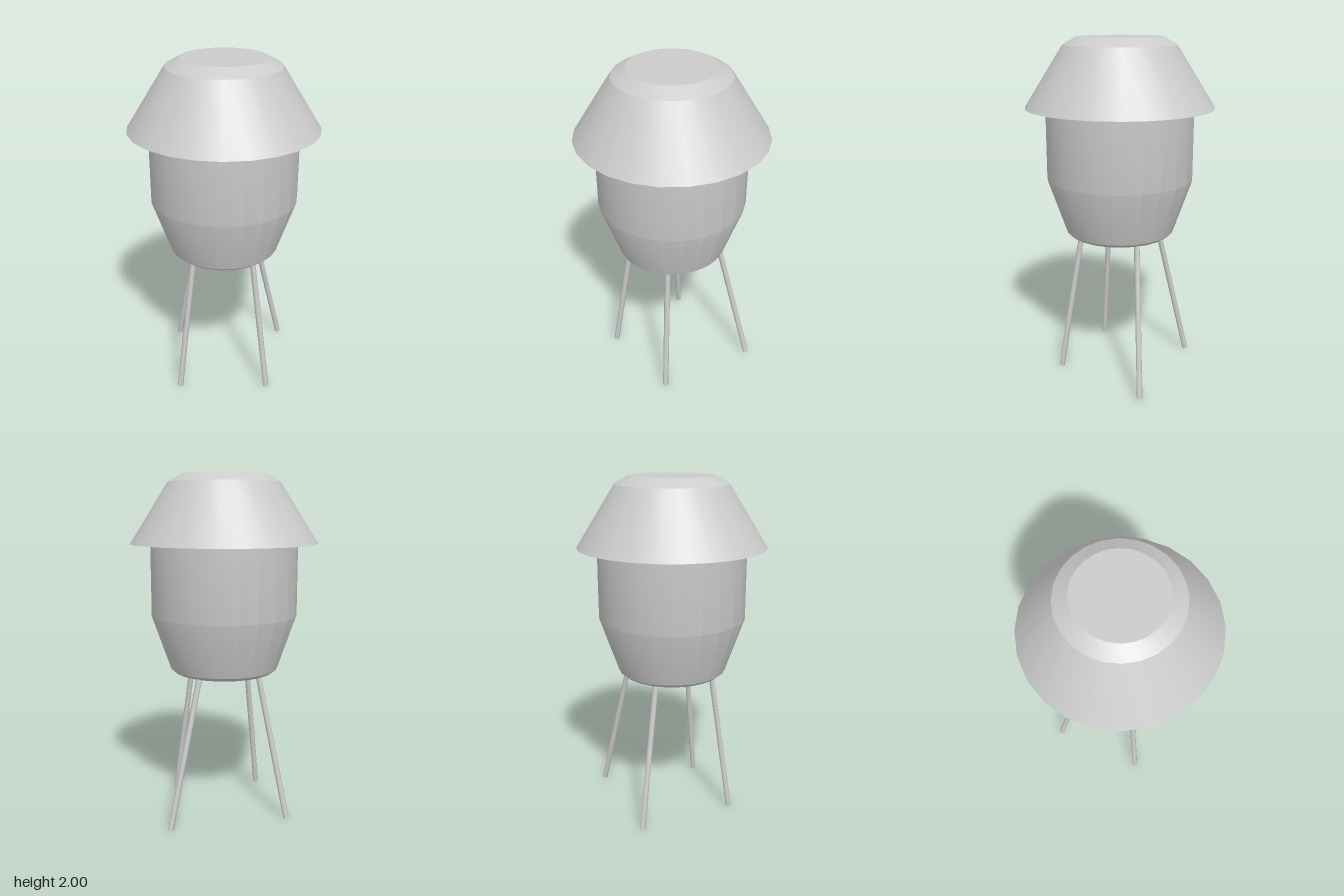
import * as THREE from 'three';
import { toCreasedNormals } from 'three/addons/utils/BufferGeometryUtils.js';

const SEGMENTS = 24;

function lathePart(name, profile, side = THREE.FrontSide) {
  const points = profile.map(([r, y]) => new THREE.Vector2(r, y));
  const geometry = toCreasedNormals(new THREE.LatheGeometry(points, SEGMENTS), 0.4);
  const mesh = new THREE.Mesh(geometry, new THREE.MeshStandardMaterial({ color: 0xcccccc, side }));
  mesh.name = name;
  return mesh;
}

// Thin round rod between two points
function rod(name, from, to, radius) {
  const a = new THREE.Vector3(...from);
  const b = new THREE.Vector3(...to);
  const dir = b.clone().sub(a);
  const geometry = toCreasedNormals(new THREE.CylinderGeometry(radius, radius, dir.length(), 8), 0.9);
  const mesh = new THREE.Mesh(geometry, new THREE.MeshStandardMaterial({ color: 0xcccccc }));
  mesh.name = name;
  mesh.position.copy(a).add(b).multiplyScalar(0.5);
  mesh.quaternion.setFromUnitVectors(new THREE.Vector3(0, 1, 0), dir.normalize());
  return mesh;
}

export function createModel() {
  const model = new THREE.Group();
  model.name = 'leggedContainer';

  // Tapered body with a bevelled base, its top tucked under the roof
  model.add(lathePart('body', [
    [0, 0.85], [0.295, 0.85], [0.32, 0.87], [0.43, 1.19], [0.43, 1.76], [0, 1.76],
  ]));

  // Hollow conical roof with a bevelled flat top
  model.add(lathePart('roof', [
    [0.547, 1.605], [0.325, 1.955], [0.245, 2.0], [0, 2.0],
  ], THREE.DoubleSide));

  // Four unevenly splayed legs: bottom point, top point
  const legs = [
    ['frontLeg', [0, 0.004, 0.377], [0, 0.87, 0.235]],
    ['backLeg', [0, 0.004, -0.445], [0, 0.87, -0.237]],
    ['leftLeg', [0.502, 0.004, 0.027], [0.277, 0.87, -0.02]],
    ['rightLeg', [-0.382, 0.004, 0], [-0.25, 0.87, 0]],
  ];
  for (const [name, bottom, top] of legs) model.add(rod(name, bottom, top, 0.017));

  return model;
}
